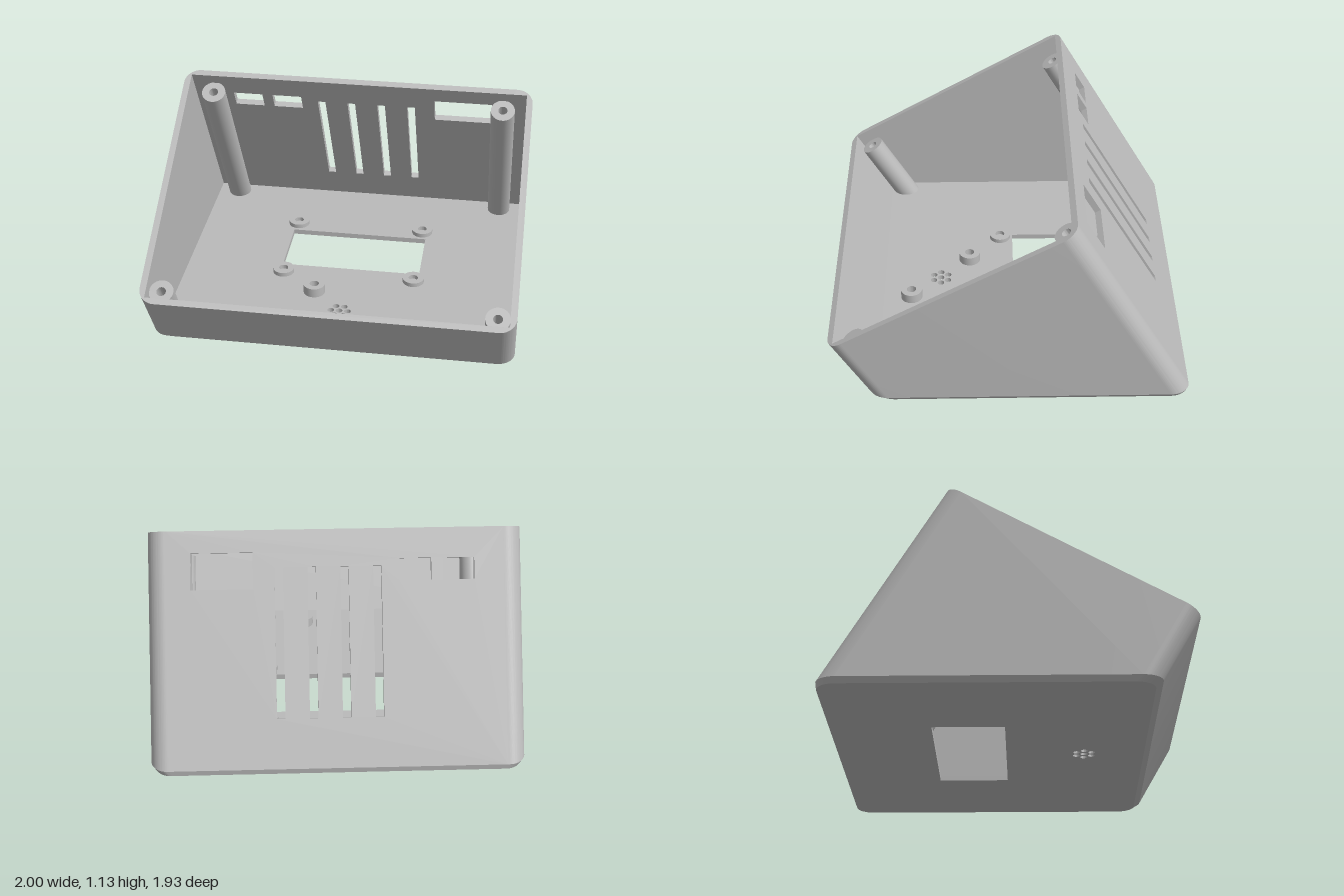
import * as THREE from 'three';
import { toCreasedNormals } from 'three/addons/utils/BufferGeometryUtils.js';

const C = Math.cos(Math.PI / 6), S = 0.5;      // the case leans back 30 degrees
const TOP = 0.814, FLOOR = 0.03, WALL = 0.035; // rim height along the lean, floor, wall
const BACK = 0.85, FRONT = -0.65, R = 0.09;    // cross-section extents and corner radius

const rect = (x0, y0, x1, y1, Kind = THREE.Path) => new Kind().setFromPoints(
  [[x0, y0], [x1, y0], [x1, y1], [x0, y1]].map(p => new THREE.Vector2(...p)));
const circle = (x, y, r, Kind = THREE.Path) => new Kind().absarc(x, y, r, 0, Math.PI * 2, false);

function extrude(shape, depth) {
  return new THREE.ExtrudeGeometry(shape, { depth, bevelEnabled: false, curveSegments: 16 });
}

// Apply a rule to every vertex
function reshape(geo, rule) {
  const p = geo.attributes.position, v = new THREE.Vector3();
  for (let i = 0; i < p.count; i++) {
    rule(v.fromBufferAttribute(p, i));
    p.setXYZ(i, v.x, v.y, v.z);
  }
  return geo;
}

// Leaning prism whose lower end is cut level with the floor
const prism = (shape, height) => reshape(extrude(shape, height), v => {
  if (v.z < 1e-6) v.z = (FLOOR - S * v.y) / C;
});

// Rounded outside of the case, from back left round the front to back right
function outerPath(shape) {
  const h = Math.PI / 2, x = 1 - R;
  shape.moveTo(x - 0.01, BACK);
  shape.lineTo(x, BACK);
  shape.absarc(x, BACK - R, R, h, 0, true);
  shape.absarc(x, FRONT + R, R, 0, -h, true);
  shape.absarc(-x, FRONT + R, R, -h, -2 * h, true);
  shape.absarc(-x, BACK - R, R, 2 * h, h, true);
  shape.lineTo(-x + 0.01, BACK);
  return shape;
}

export function createModel() {
  const model = new THREE.Group();
  model.name = 'slopedEnclosure';
  const plastic = new THREE.MeshStandardMaterial({ color: 0xbababa });
  plastic.name = 'greyPlastic';

  const add = (parent, name, geo) => {
    const mesh = new THREE.Mesh(toCreasedNormals(geo, 0.5), plastic);
    mesh.name = name;
    parent.add(mesh);
  };

  // Leaning parts: local z runs up the walls, local y points to the back
  const body = new THREE.Group();
  body.name = 'leaningBody';
  body.rotation.x = -Math.PI / 3;
  model.add(body);

  // Side and front walls with rounded outer and square inner corners
  const walls = outerPath(new THREE.Shape());
  const ix = 1 - WALL, ib = BACK - WALL, iF = FRONT + WALL, ex = 1 - R - 0.01;
  [[-ex, ib], [-ix, ib], [-ix, iF], [ix, iF], [ix, ib], [ex, ib]].forEach(p => walls.lineTo(...p));
  add(body, 'sideAndFrontWalls', prism(walls, TOP));

  // Back wall with vents and ports
  const back = rect(-ex, (FLOOR - S * BACK) / C, ex, TOP, THREE.Shape);
  for (const x of [-0.222, -0.047, 0.128, 0.303])
    back.holes.push(rect(x - 0.0225, -0.19, x + 0.0225, 0.614));
  back.holes.push(
    rect(-0.74, 0.535, -0.57, 0.652),
    rect(-0.51, 0.535, -0.34, 0.652),
    rect(0.44, 0.5, 0.77, 0.695));
  add(body, 'backWall', extrude(back, WALL).rotateX(Math.PI / 2).translate(0, BACK, 0));

  // Screw posts
  for (const side of [-1, 1]) {
    for (const [name, x, b, r] of [['backPost', 0.836, 0.75, 0.068], ['frontPost', 0.9, -0.541, 0.067]]) {
      const ring = circle(side * x, b, r, THREE.Shape);
      ring.holes.push(circle(side * x, b, 0.026));
      add(body, name, prism(ring, 0.743));
    }
  }

  // Floor with window and speaker holes; its lower edge is chamfered
  const shift = FLOOR * S / C;
  const outline = outerPath(new THREE.Shape()).getPoints(16)
    .map(p => new THREE.Vector2(p.x, p.y / C - shift));
  const floor = new THREE.Shape(outline);
  floor.holes.push(rect(-0.405, 0.03, 0.41, 0.42), circle(-0.003, -0.4, 0.019));
  for (let i = 0; i < 6; i++) {
    const a = i * Math.PI / 3;
    floor.holes.push(circle(-0.003 + 0.048 * Math.cos(a), -0.4 + 0.048 * Math.sin(a), 0.019));
  }
  const floorGeo = reshape(extrude(floor, FLOOR), v => {
    if (v.z > 1e-6 || Math.abs(v.x) < 0.8) return;
    v.x *= 0.98;
    v.y = 0.0985 + (v.y - 0.0985) * 0.977 + shift;
  });
  add(model, 'floor', floorGeo.rotateX(-Math.PI / 2));

  // Board standoffs: four low ones round the window, two taller ones in front
  const standoffs = [
    [-0.387, 0.045, 0.025], [0.383, 0.045, 0.025], [-0.387, -0.5, 0.025], [0.383, -0.5, 0.025],
    [-0.173, 0.23, 0.055], [0.165, 0.567, 0.055]];
  for (const [x, z, h] of standoffs) {
    const ring = circle(x, -z, 0.062, THREE.Shape);
    ring.holes.push(circle(x, -z, 0.027));
    add(model, 'standoff', extrude(ring, h).rotateX(-Math.PI / 2).translate(0, FLOOR, 0));
  }
  return model;
}
